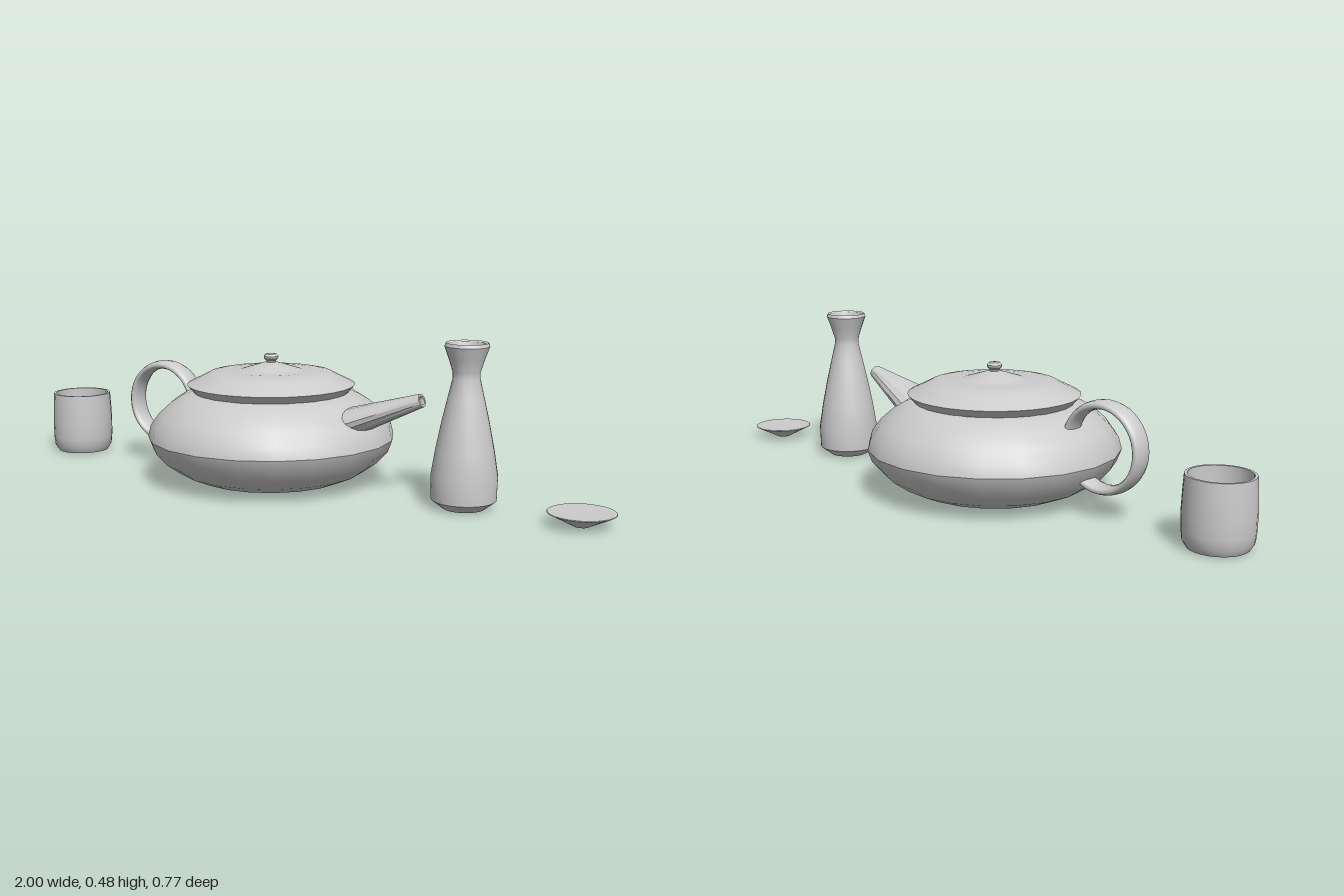
import * as THREE from 'three';
import { toCreasedNormals } from 'three/addons/utils/BufferGeometryUtils.js';

const material = new THREE.MeshStandardMaterial({ color: 0xcccccc, side: THREE.DoubleSide });

// Turned form from [radius, height] pairs, with sharp edges kept
function turned(profile, segments) {
  const points = profile.map(([r, y]) => new THREE.Vector2(r, y));
  return toCreasedNormals(new THREE.LatheGeometry(points, segments), 0.5);
}

function part(name, geometry, x = 0, y = 0) {
  const mesh = new THREE.Mesh(geometry, material);
  mesh.name = name;
  mesh.position.set(x, y, 0);
  return mesh;
}

// Tapered spout, wide and flat at the root, round and hollow at the tip
function spoutGeometry() {
  const length = 0.24;
  const geo = new THREE.LatheGeometry([
    [0, 0], [0.043, 0], [0.02, length], [0.013, length], [0.011, length - 0.05], [0, length - 0.05],
  ].map(([r, y]) => new THREE.Vector2(r, y)), 16);
  const pos = geo.attributes.position;
  for (let i = 0; i < pos.count; i++) {
    pos.setZ(i, pos.getZ(i) * THREE.MathUtils.lerp(2.3, 1, pos.getY(i) / length));
  }
  return toCreasedNormals(geo, 0.5);
}

export function createModel() {
  const model = new THREE.Group();
  model.name = 'teaSet';

  // Teapot
  const teapot = new THREE.Group();
  teapot.name = 'teapot';
  teapot.position.x = -0.11;
  teapot.add(part('potBody', turned([
    [0, 0.004], [0.18, 0.003], [0.232, 0.01], [0.29, 0.035], [0.337, 0.068], [0.37, 0.105],
    [0.383, 0.14], [0.374, 0.175], [0.347, 0.212], [0.31, 0.245], [0.275, 0.267], [0.24, 0.28], [0, 0.28],
  ], 20)));
  teapot.add(part('lid', turned([
    [0, 0.276], [0.238, 0.276], [0.26, 0.302], [0.215, 0.324], [0.19, 0.337], [0.165, 0.342],
    [0.13, 0.345], [0.1, 0.344], [0.085, 0.348], [0.05, 0.359], [0.02, 0.368], [0, 0.369],
  ], 32)));
  teapot.add(part('lidKnob', turned([
    [0, 0.364], [0.014, 0.365], [0.015, 0.373], [0.022, 0.38], [0.023, 0.387], [0.016, 0.394], [0, 0.396],
  ], 16)));

  const spout = part('spout', spoutGeometry(), 0.3, 0.214);
  spout.rotation.z = -THREE.MathUtils.degToRad(69.5);
  teapot.add(spout);

  const ring = new THREE.TorusGeometry(0.122, 0.0135, 12, 40);
  ring.scale(1, 1, 2.6);
  teapot.add(part('handle', ring, -0.415, 0.205));
  model.add(teapot);

  // Cup with hollow inside
  model.add(part('cup', turned([
    [0, 0.012], [0.066, 0.012], [0.072, 0], [0.084, 0.002], [0.096, 0.022], [0.099, 0.05], [0.1, 0.1],
    [0.098, 0.15], [0.095, 0.2], [0.087, 0.2], [0.089, 0.1], [0.084, 0.045], [0.06, 0.03], [0, 0.027],
  ], 24), -0.9));

  // Flask with flared neck
  model.add(part('flask', turned([
    [0, 0], [0.06, 0], [0.094, 0.026], [0.096, 0.095], [0.084, 0.17], [0.068, 0.25], [0.052, 0.32],
    [0.039, 0.375], [0.039, 0.392], [0.051, 0.43], [0.064, 0.466], [0.06, 0.476], [0.055, 0.472],
    [0.031, 0.392], [0.03, 0.365], [0, 0.365],
  ], 24), 0.553));

  // Shallow dish
  model.add(part('dish', turned([
    [0, 0], [0.022, 0], [0.055, 0.017], [0.095, 0.037], [0.094, 0.039], [0, 0.036],
  ], 24), 0.905));

  return model;
}
